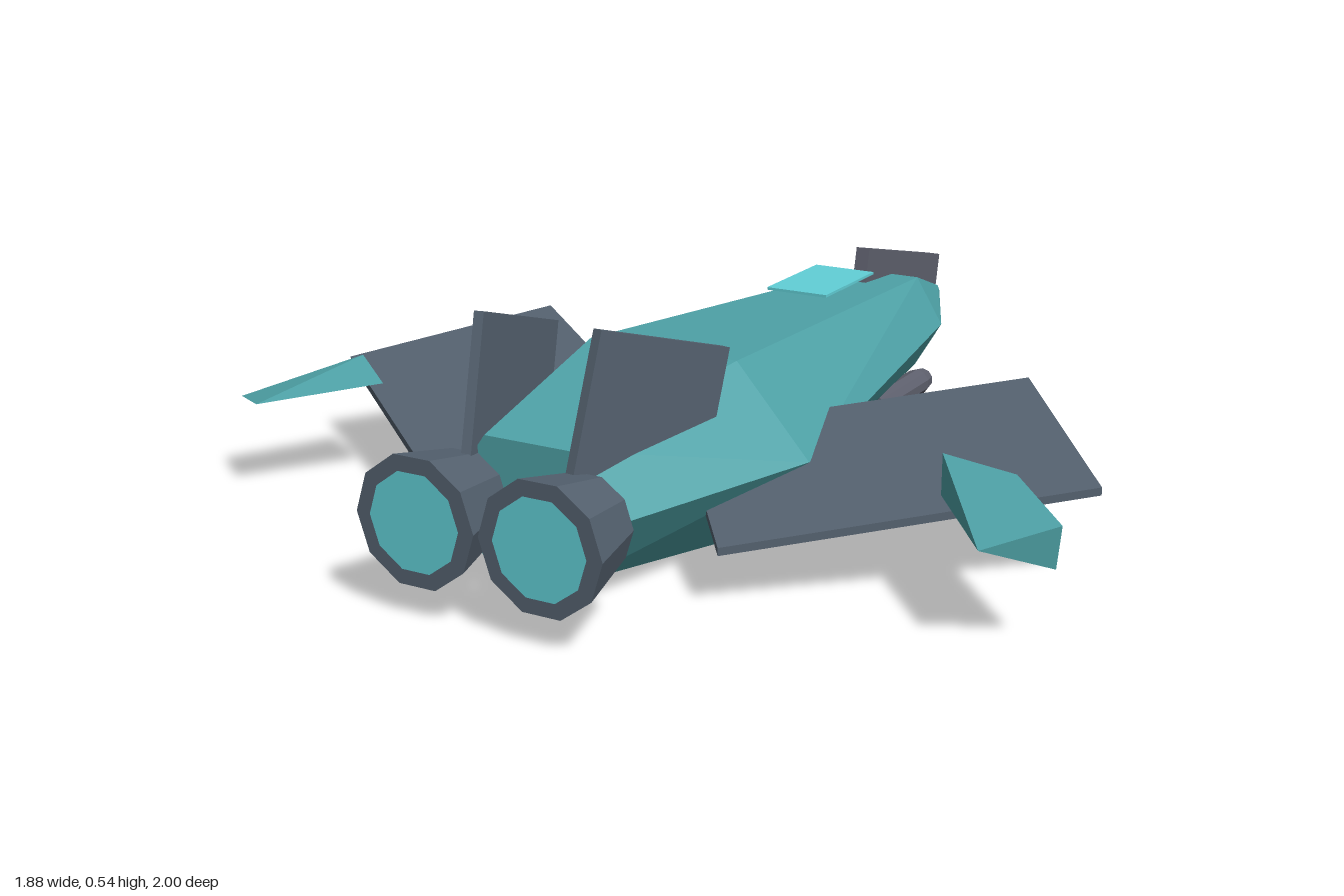
import * as THREE from 'three';
import { ConvexGeometry } from 'three/addons/geometries/ConvexGeometry.js';

const paint = (name, color) => {
  const m = new THREE.MeshStandardMaterial({ color, flatShading: true });
  m.name = name;
  return m;
};

export function createModel() {
  const ship = new THREE.Group();
  ship.name = 'spacecraft';
  const teal = paint('teal hull', 0x4fa3a8);
  const slate = paint('slate grey', 0x556270);
  const gunmetal = paint('gunmetal', 0x5e606d);
  const cyan = paint('bright cyan', 0x62d0d8);

  const add = (name, geometry, material, x = 0, y = 0, z = 0) => {
    const mesh = new THREE.Mesh(geometry, material);
    mesh.name = name;
    mesh.position.set(x, y, z);
    ship.add(mesh);
    return mesh;
  };
  const hull = pts => new ConvexGeometry(pts.map(p => new THREE.Vector3(...p)));

  // Fuselage: hexagonal sections [z, half width, flat half width, bottom, middle, top]
  const sections = [
    [-1, 0.012, 0.007, 0.175, 0.19, 0.203],
    [-0.7, 0.15, 0.083, 0.08, 0.19, 0.3],
    [0.36, 0.335, 0.172, 0, 0.19, 0.375],
    [0.84, 0.187, 0.095, 0.06, 0.19, 0.318],
  ];
  const body = [];
  for (const [z, w, f, low, mid, top] of sections)
    for (const s of [-1, 1]) body.push([s * w, mid, z], [s * f, low, z], [s * f, top, z]);
  add('fuselage', hull(body), teal);

  // Canopy plate and the tilted blade on the nose
  add('canopy', new THREE.BoxGeometry(0.15, 0.006, 0.245), cyan, -0.004, 0.358, -0.352);
  add('noseBlade', new THREE.BoxGeometry(0.034, 0.148, 0.43), gunmetal, -0.003, 0.268, -0.763)
    .rotation.x = -0.237;

  for (const s of [-1, 1]) {
    const side = s > 0 ? 'left' : 'right';

    // Swept wing slab
    const wing = [];
    for (const [x, y, z] of [[0.602, 0.268, -0.12], [0.9, 0.196, 0.255], [0.32, 0.116, 0.697], [0.022, 0.19, 0.322]])
      for (const t of [-0.008, 0.008]) wing.push([s * x, y + t, z]);
    add(side + 'Wing', hull(wing), slate);

    // Raised tail fin, toed in towards the back
    const fin = add(side + 'TailFin', new THREE.BoxGeometry(0.02, 0.27, 0.366), slate, s * 0.157, 0.357, 0.662);
    fin.rotation.set(-0.302, -s * 0.2, 0, 'YXZ');

    // Flared engine with a glowing outlet
    const engine = new THREE.CylinderGeometry(0.132, 0.095, 0.16, 10);
    engine.rotateY(Math.PI / 2).rotateX(Math.PI / 2);
    add(side + 'Engine', engine, slate, s * 0.137 - 0.003, 0.19, 0.92);
    add(side + 'EngineGlow', new THREE.CircleGeometry(0.1, 10), cyan, s * 0.137 - 0.003, 0.19, 1.002);

    // Gun pod under the nose
    const pod = new THREE.CylinderGeometry(0.032, 0.032, 0.24, 10).rotateX(Math.PI / 2);
    add(side + 'GunPod', pod, gunmetal, s * 0.135, 0.068, -0.475);
    const tip = new THREE.CylinderGeometry(0.026, 0.032, 0.035, 10).rotateX(-Math.PI / 2);
    add(side + 'GunPodTip', tip, gunmetal, s * 0.135, 0.068, -0.6125);
  }

  // Wing tip panels: a thick faceted one on the left, a thin one on the right
  add('leftWinglet', hull([
    [0.77, 0.24, 0.36], [0.94, 0.242, 0.574], [0.93, 0.157, 0.57],
    [0.817, 0.2, 0.655], [0.653, 0.287, 0.44], [0.65, 0.202, 0.435],
  ]), teal);
  add('rightWinglet', hull([
    [-0.775, 0.253, 0.36], [-0.942, 0.19, 0.57], [-0.823, 0.213, 0.655], [-0.657, 0.226, 0.44],
  ]), teal);

  return ship;
}
